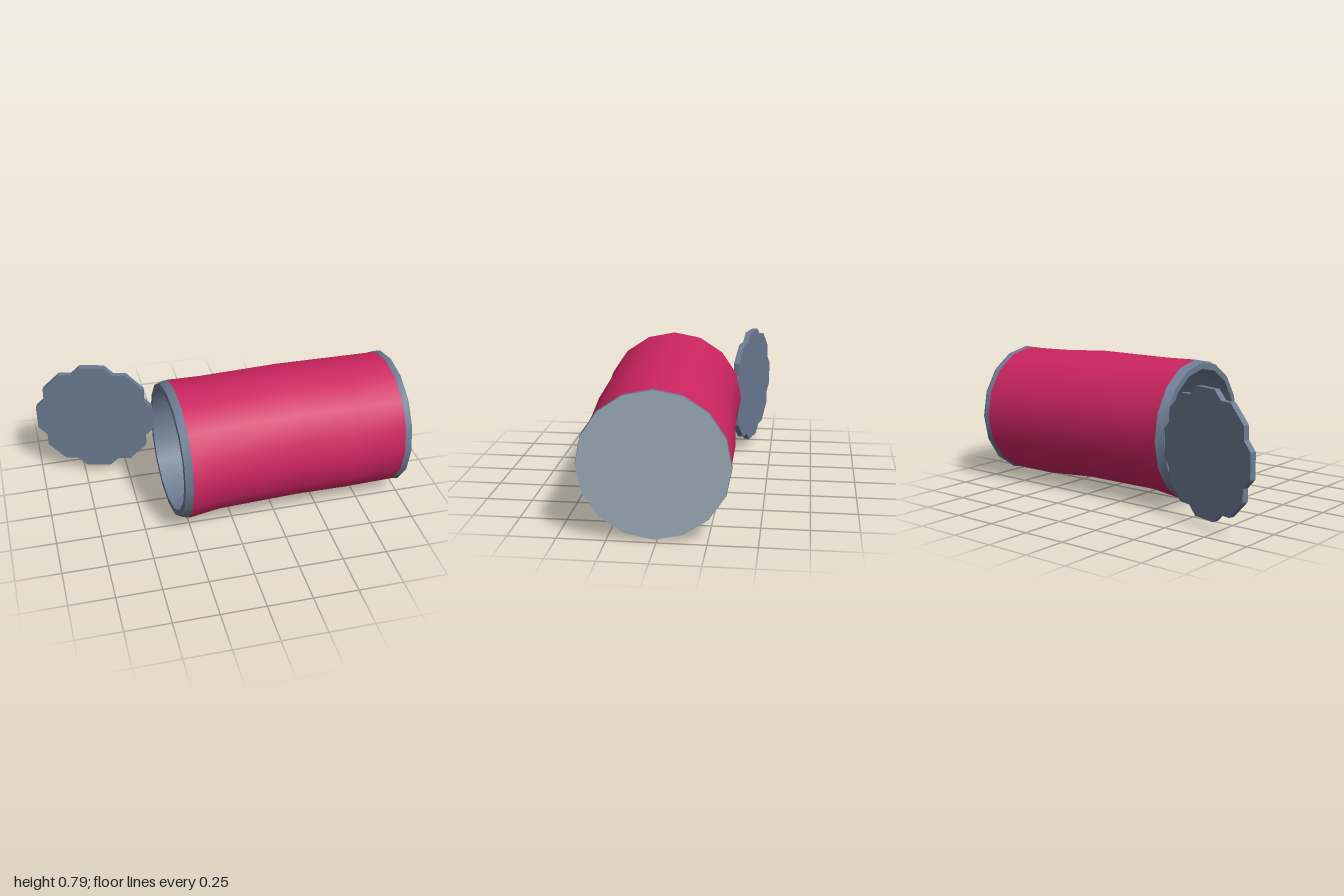
import * as THREE from 'three';

const SIDES = 16;

// Centre line of the slightly bent can: [x, y, z, tilt of the ring]
const SPINE = [
  [-0.325, 0.395, 0.07, 0.06],
  [-0.28, 0.394, 0.066, 0.052],
  [-0.1, 0.404, 0.06, 0.05],
  [0.35, 0.408, 0.043, 0.045],
  [0.65, 0.391, 0.023, 0.04],
  [0.983, 0.388, 0.015, 0.04],
];

function spineAt(x) {
  let i = 0;
  while (i < SPINE.length - 2 && x > SPINE[i + 1][0]) i++;
  const a = SPINE[i], b = SPINE[i + 1];
  const t = (x - a[0]) / (b[0] - a[0]);
  return a.map((v, k) => v + (b[k] - v) * t);
}

// Skin through rings given as [x, radius] along the spine
function ringSkin(name, rings, material) {
  const pos = [], index = [];
  rings.forEach(([x, r]) => {
    const [cx, cy, cz, tilt] = spineAt(x);
    for (let j = 0; j < SIDES; j++) {
      const a = (j / SIDES) * Math.PI * 2;
      const y = Math.cos(a) * r, z = Math.sin(a) * r;
      pos.push(cx + tilt * z + 0.01 * y, cy + y, cz + z);
    }
  });
  for (let i = 0; i < rings.length - 1; i++) {
    for (let j = 0; j < SIDES; j++) {
      const k = (j + 1) % SIDES;
      const a = i * SIDES + j, b = i * SIDES + k;
      const c = a + SIDES, d = b + SIDES;
      if (rings[i][1] > 0) index.push(a, b, c);
      if (rings[i + 1][1] > 0) index.push(b, d, c);
    }
  }
  const geo = new THREE.BufferGeometry();
  geo.setAttribute('position', new THREE.Float32BufferAttribute(pos, 3));
  geo.setIndex(index);
  geo.computeVertexNormals();
  const mesh = new THREE.Mesh(geo, material);
  mesh.name = name;
  return mesh;
}

export function createModel() {
  const make = (name, color) => {
    const m = new THREE.MeshStandardMaterial({ color });
    m.name = name;
    return m;
  };
  const metal = make('slate metal', 0x6b7b92);
  const label = make('crimson label', 0xcc2560);
  const base = make('pale metal', 0x9cadb8);

  const model = new THREE.Group();
  model.name = 'openCan';

  // Can, from the inside floor out over the lip and along to the closed end
  model.add(
    ringSkin('innerFloor', [[0.93, 0], [0.93, 0.345]], metal),
    ringSkin('innerWall', [[0.93, 0.345], [0.35, 0.345], [-0.1, 0.345], [-0.325, 0.345]], metal),
    ringSkin('openLip', [[-0.325, 0.345], [-0.325, 0.379]], metal),
    ringSkin('openRim', [[-0.325, 0.379], [-0.28, 0.394]], metal),
    ringSkin('labelWrap', [[-0.28, 0.394], [-0.1, 0.38], [0.35, 0.38], [0.65, 0.381], [0.948, 0.377]], label),
    ringSkin('closedRim', [[0.948, 0.377], [0.97, 0.383], [0.983, 0.38]], metal),
    ringSkin('canBase', [[0.983, 0.38], [0.983, 0]], base),
  );

  // Scalloped lid: eight flat tabs with a notch between neighbours
  const outline = [];
  for (let i = 0; i < 8; i++) {
    [[-11.5, 0.347], [11.5, 0.347], [22.5, 0.314]].forEach(([deg, r]) => {
      const a = THREE.MathUtils.degToRad(i * 45 + deg);
      outline.push(new THREE.Vector2(Math.cos(a) * r, Math.sin(a) * r));
    });
  }
  const thickness = 0.034;
  const lidGeo = new THREE.ExtrudeGeometry(new THREE.Shape(outline), { depth: thickness, bevelEnabled: false });
  lidGeo.translate(0, 0, -thickness / 2);
  const lid = new THREE.Mesh(lidGeo, metal);
  lid.name = 'lid';
  lid.position.set(-0.667, 0.39, -0.366);
  lid.rotation.y = THREE.MathUtils.degToRad(-14.7);
  model.add(lid);

  return model;
}
